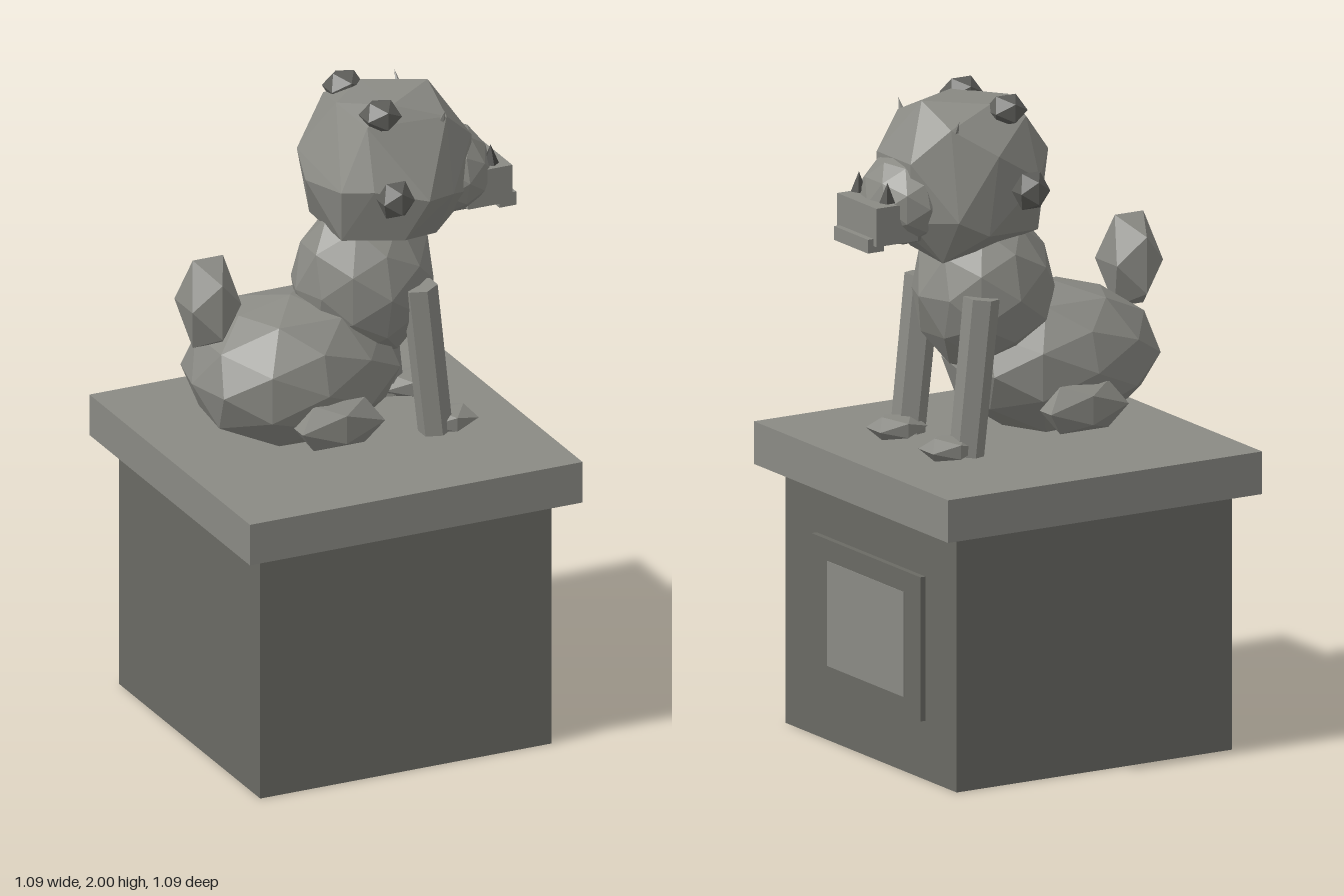
import * as THREE from 'three';
import { ConvexGeometry } from 'three/addons/geometries/ConvexGeometry.js';

const mat = (name, color) => {
  const m = new THREE.MeshStandardMaterial({ color, flatShading: true });
  m.name = name;
  return m;
};

export function createModel() {
  const model = new THREE.Group();
  model.name = 'guardianStatue';
  const stone = mat('lightStone', 0x8a8a84);
  const dark = mat('darkStone', 0x6a6a64);
  const curlStone = mat('curlStone', 0x5e5e5a);
  const black = mat('shadowStone', 0x484845);

  const add = (name, geometry, material, x, y, z) => {
    const mesh = new THREE.Mesh(geometry, material);
    mesh.name = name;
    mesh.position.set(x, y, z);
    model.add(mesh);
    return mesh;
  };
  // Box given by its lower and upper limits
  const box = (name, material, [x0, x1], [y0, y1], [z0, z1]) =>
    add(name, new THREE.BoxGeometry(x1 - x0, y1 - y0, z1 - z0), material,
      (x0 + x1) / 2, (y0 + y1) / 2, (z0 + z1) / 2);
  // Faceted boulder; equal corners get equal chisel offsets
  const rock = (name, material, detail, [x, y, z], [rx, ry, rz], rough = 0) => {
    const g = new THREE.IcosahedronGeometry(detail ? 1 : 1 / 0.85, detail);
    const p = g.attributes.position;
    for (let i = 0; i < p.count; i++) {
      const a = p.getX(i), b = p.getY(i), c = p.getZ(i);
      const k = 1 + rough * Math.sin(a * 7.3 + b * 11.1 + c * 5.7 + x * 9);
      p.setXYZ(i, a * k * rx, b * k * ry, c * k * rz);
    }
    g.computeVertexNormals();
    return add(name, g, material, x, y, z);
  };

  // Pedestal
  box('pedestal', dark, [-0.48, 0.475], [0, 0.785], [-0.48, 0.48]);
  box('pedestalSlab', stone, [-0.545, 0.545], [0.785, 0.915], [-0.545, 0.545]);
  box('plaqueFrame', dark, [0.47, 0.493], [0.18, 0.62], [-0.305, 0.305]);
  box('plaquePanel', stone, [0.491, 0.495], [0.235, 0.555], [-0.215, 0.215]);

  // Body
  rock('hindBody', stone, 1, [-0.15, 1.145, 0], [0.33, 0.23, 0.275], 0.03);
  rock('chest', stone, 1, [0.085, 1.385, 0], [0.22, 0.25, 0.205], 0.03);
  rock('tail', stone, 0, [-0.42, 1.4, 0], [0.08, 0.14, 0.1]);

  // Head: hull of a few chiselled corners
  const corners = [
    [-0.04, 1.57, 0.12], [-0.03, 1.57, -0.12], [-0.1, 1.73, 0], [-0.09, 1.8, -0.08],
    [-0.06, 1.74, 0.16], [0, 1.96, 0], [0.03, 1.93, 0.15], [0.03, 1.93, -0.15],
    [0.13, 1.97, 0.11], [0.13, 1.97, -0.11], [0.3, 1.98, 0], [0.29, 1.92, 0.15],
    [0.29, 1.92, -0.15], [0.17, 1.72, 0.285], [0.02, 1.75, 0.22], [0.17, 1.84, -0.225],
    [0.02, 1.75, -0.21], [0.2, 1.6, -0.22], [0.3, 1.65, -0.21], [0.12, 1.58, 0.22],
    [0.28, 1.7, 0.22], [0.4, 1.82, 0.09], [0.4, 1.82, -0.1], [0.4, 1.64, 0.09],
    [0.4, 1.64, -0.1], [0.3, 1.51, -0.12], [0.29, 1.52, 0.08],
  ].map((c) => new THREE.Vector3(...c));
  add('head', new ConvexGeometry(corners), stone, 0, 0, 0);
  rock('muzzle', stone, 1, [0.365, 1.69, 0], [0.125, 0.14, 0.155]);
  box('snout', stone, [0.38, 0.525], [1.588, 1.705], [-0.11, 0.11]);
  box('lowerJaw', stone, [0.49, 0.545], [1.568, 1.61], [-0.095, 0.095]);

  // Paired parts
  for (const s of [1, -1]) {
    const side = s > 0 ? 'left' : 'right';
    rock(side + 'CrownCurl', curlStone, 0, [0.085, 1.95, s * 0.125], [0.055, 0.045, 0.055]);
    rock(side + 'CheekCurl', curlStone, 0, [0.075, 1.73, s * 0.25], [0.05, 0.055, 0.045]);
    add(side + 'Eye', new THREE.ConeGeometry(0.025, 0.06, 5), black, 0.468, 1.74, s * 0.08);
    const ear = add(side + 'Ear', new THREE.ConeGeometry(0.02, 0.09, 5), stone, 0.275, 1.91, s * 0.15);
    ear.rotation.x = s * 0.5;

    // Front leg leans forward towards its paw
    const leg = add(side + 'FrontLeg', new THREE.CylinderGeometry(0.054, 0.052, 0.475, 6),
      stone, 0.22, 1.165, s * 0.165);
    leg.rotation.z = 0.11;
    rock(side + 'FrontPaw', stone, 0, [0.295, 0.953, s * 0.148], [0.082, 0.035, 0.066]);
    rock(side + 'HindPaw', stone, 0, [-0.11, 1.045, s * 0.25], [0.135, 0.072, 0.052]);
  }
  return model;
}
